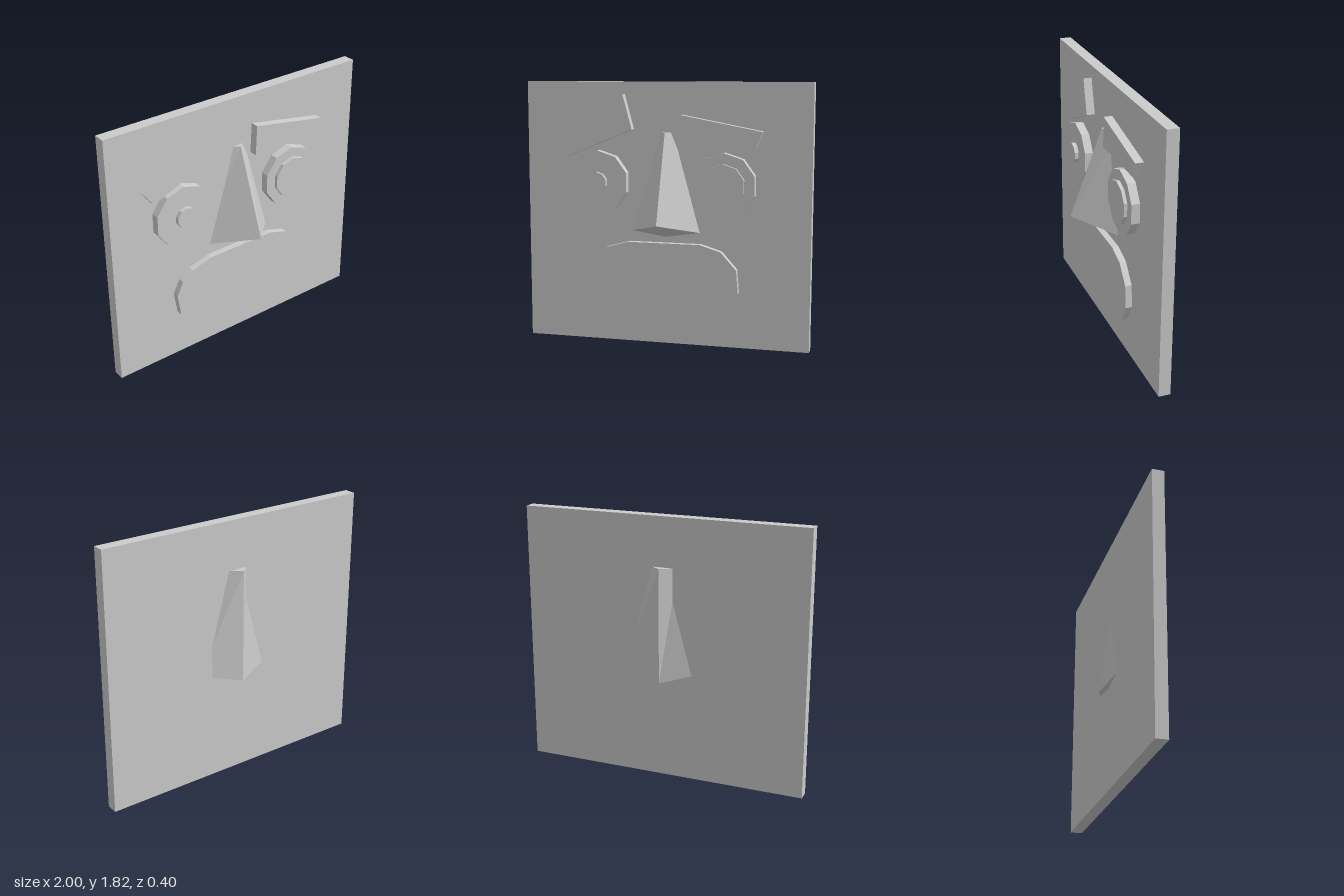
import * as THREE from 'three';

const SLAB_BACK = -0.137, SLAB_FRONT = -0.055;

export function createModel() {
  const model = new THREE.Group();
  const material = new THREE.MeshStandardMaterial({ color: 0xcccccc, flatShading: true });

  const add = (name, geometry) => {
    const mesh = new THREE.Mesh(geometry, material);
    mesh.name = name;
    model.add(mesh);
    return mesh;
  };
  const toPoints = (list) => list.map(([x, y]) => new THREE.Vector2(x, y));

  // Flat relief cut from an outline, reaching from just inside the slab to zFront
  const relief = (name, outline, zFront, hole) => {
    const shape = new THREE.Shape(toPoints(outline));
    if (hole) shape.holes.push(new THREE.Path(toPoints(hole)));
    const back = SLAB_FRONT - 0.005;
    const geometry = new THREE.ExtrudeGeometry(shape, { depth: zFront - back, bevelEnabled: false });
    add(name, geometry.translate(0, 0, back));
  };

  // Ten-sided disc facing forward, with a corner at the top
  const disc = (name, x, y, radius, z0, z1) => {
    const geometry = new THREE.CylinderGeometry(radius, radius, z1 - z0, 10);
    add(name, geometry.rotateX(Math.PI / 2)).position.set(x, y, (z0 + z1) / 2);
  };

  // Backing slab
  add('faceSlab', new THREE.BoxGeometry(2, 1.815, SLAB_FRONT - SLAB_BACK))
    .position.set(0, 0.9075, (SLAB_FRONT + SLAB_BACK) / 2);

  // Eyes and pupils
  disc('rightEye', -0.475, 1.125, 0.22, -0.06, 0.003);
  disc('rightPupil', -0.475, 1.125, 0.073, -0.01, 0.032);
  disc('leftEye', 0.415, 1.125, 0.22, -0.06, 0.003);
  disc('leftPupil', 0.415, 1.125, 0.147, -0.01, 0.026);

  // Eyebrows
  relief('rightEyebrow', [[-0.77, 1.38], [-0.705, 1.295], [-0.225, 1.49], [-0.29, 1.73]], 0.003);
  relief('leftEyebrow', [[0.115, 1.595], [0.105, 1.385], [0.63, 1.385], [0.675, 1.49]], 0.003);

  // Lips: a ring with an open mouth
  relief('mouth', [
    [-0.257, 0.714], [0.25, 0.714], [0.395, 0.67], [0.503, 0.55], [0.517, 0.39], [0.445, 0.26],
    [0.235, 0.19], [-0.295, 0.19], [-0.433, 0.233], [-0.525, 0.35], [-0.55, 0.51], [-0.5, 0.61], [-0.417, 0.67],
  ], -0.01, [
    [-0.29, 0.628], [0.273, 0.628], [0.375, 0.58], [0.435, 0.495], [0.435, 0.41], [0.37, 0.32],
    [0.25, 0.27], [-0.275, 0.27], [-0.38, 0.313], [-0.455, 0.405], [-0.47, 0.49], [-0.44, 0.565], [-0.36, 0.61],
  ]);

  // Nose: tilted four-sided frustum passing through the slab
  const bottom = [[0, 0.865, 0.2], [0.293, 0.773, -0.112], [0, 0.69, -0.2], [-0.293, 0.773, -0.112]];
  const top = [[0, 1.47, -0.023], [0.1, 1.475, -0.112], [0, 1.48, -0.2], [-0.1, 1.475, -0.112]];
  const index = [0, 2, 1, 0, 3, 2, 4, 5, 6, 4, 6, 7];
  for (let i = 0; i < 4; i++) {
    const j = (i + 1) % 4;
    index.push(i, j, j + 4, i, j + 4, i + 4);
  }
  const nose = new THREE.BufferGeometry();
  nose.setAttribute('position', new THREE.Float32BufferAttribute([...bottom, ...top].flat(), 3));
  nose.setIndex(index);
  const flatNose = nose.toNonIndexed();
  flatNose.computeVertexNormals();
  add('nose', flatNose);

  return model;
}
